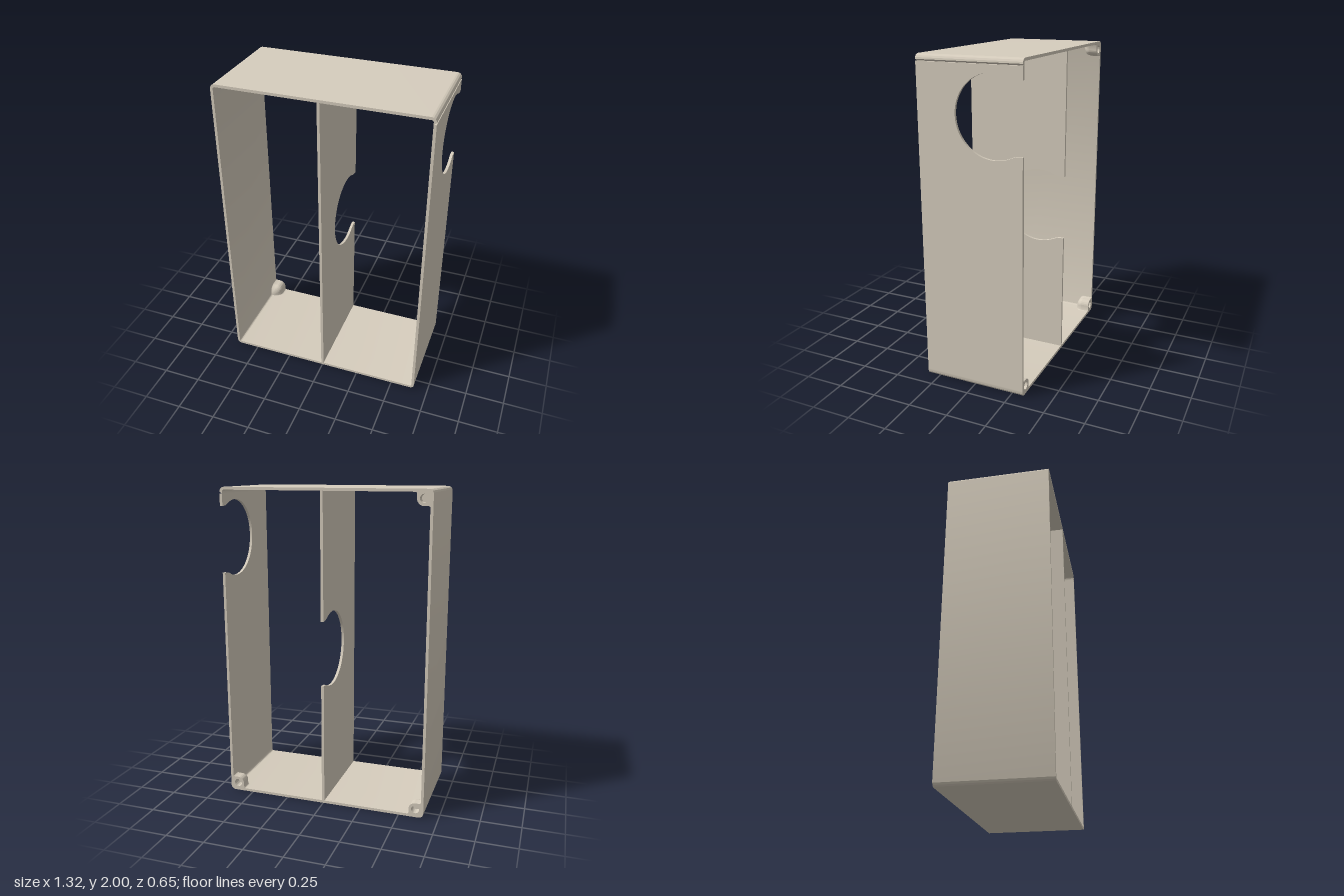
import * as THREE from 'three';
import { toCreasedNormals } from 'three/addons/utils/BufferGeometryUtils.js';
import { ParametricGeometry } from 'three/addons/geometries/ParametricGeometry.js';

const W = 0.658, H = 2, D = 0.325, T = 0.017; // half width, height, half depth, wall
const material = new THREE.MeshStandardMaterial({ color: 0xd6cdbd });

function mesh(name, geometry) {
  const m = new THREE.Mesh(geometry, material);
  m.name = name;
  return m;
}

function extrude(shape, depth) {
  const g = new THREE.ExtrudeGeometry(shape, { depth, bevelEnabled: false, curveSegments: 32 });
  return toCreasedNormals(g, 0.6);
}

// Top, bottom and left wall as one C-shaped profile with rounded corners
function frameShape(gap) {
  const R = 0.03, r = R - T, q = Math.PI / 2;
  const s = new THREE.Shape();
  s.moveTo(W, H - gap);
  s.absarc(W - R, H - R, R, 0, q, false);
  s.absarc(-W + R, H - R, R, q, 2 * q, false);
  s.absarc(-W + R, R, R, 2 * q, 3 * q, false);
  s.absarc(W - R, R, R, 3 * q, 4 * q, false);
  s.lineTo(W, gap);
  s.lineTo(W - T, gap);
  s.absarc(W - R, R, r, 0, -q, true);
  s.absarc(-W + R, R, r, -q, -2 * q, true);
  s.absarc(-W + R, H - R, r, 2 * q, q, true);
  s.absarc(W - R, H - R, r, q, 0, true);
  s.lineTo(W - T, H - gap);
  s.closePath();
  return s;
}

// Upright panel with a keyhole notch opening at its back edge
function notchedPanel(name, x, y0, y1, cy) {
  const a = 1.14, neck = 0.205, f = 0.143, fx = 0.315, fy = neck + f;
  const s = new THREE.Shape();
  s.moveTo(-D, y0);
  s.lineTo(D, y0);
  s.lineTo(D, cy - neck);
  s.absarc(fx, cy - fy, f, Math.PI / 2, Math.PI - a, false);
  s.absarc(0.155, cy, 0.24, -a, a, true);
  s.absarc(fx, cy + fy, f, a - Math.PI, -Math.PI / 2, false);
  s.lineTo(D, cy + neck);
  s.lineTo(D, y1);
  s.lineTo(-D, y1);
  s.closePath();
  const m = mesh(name, extrude(s, T).rotateY(Math.PI / 2));
  m.position.x = x;
  return m;
}

// Corner screw boss: bored block with a domed front, growing from the corner at 0,0
function screwBoss(name) {
  const c = 0.014, e = 0.094, r = 0.042, flare = 0.012, straight = 0.055, dome = 0.05;
  const s = new THREE.Shape();
  s.moveTo(c, c);
  s.lineTo(e + flare, c);
  s.lineTo(e + flare, T);
  s.quadraticCurveTo(e, T, e, T + flare);
  s.lineTo(e, e - r);
  s.absarc(e - r, e - r, r, 0, Math.PI / 2, false);
  s.lineTo(T + flare, e);
  s.quadraticCurveTo(T, e, T, e + flare);
  s.lineTo(c, e + flare);
  s.closePath();
  const outline = s.getPoints(10);

  const cap = new ParametricGeometry((u, v, p) => {
    const t = u * (outline.length - 1), i = Math.min(Math.floor(t + 1e-6), outline.length - 2);
    const o = outline[i].clone().lerp(outline[i + 1], t - i);
    const k = Math.cos(v * Math.PI / 2);
    p.set(c + (o.x - c) * k, c + (o.y - c) * k, straight + dome * Math.sin(v * Math.PI / 2));
  }, outline.length - 1, 10);

  const hole = new THREE.Path();
  hole.absarc(0.052, 0.052, 0.025, 0, Math.PI * 2, true);
  s.holes.push(hole);

  const floor = mesh('screwHoleFloor', new THREE.CircleGeometry(0.026, 32).rotateY(Math.PI));
  floor.position.set(0.052, 0.052, straight);

  const g = new THREE.Group();
  g.name = name;
  g.add(mesh('bossBody', extrude(s, straight)), mesh('bossDome', toCreasedNormals(cap, 0.6)), floor);
  return g;
}

export function createModel() {
  const model = new THREE.Group();
  model.name = 'dividedFrame';

  // Outer shell; the side wall at +x is a separate notched panel
  const gap = 0.04;
  const frame = mesh('outerFrame', extrude(frameShape(gap), 2 * D));
  frame.position.z = -D;
  model.add(frame);
  model.add(notchedPanel('notchedSideWall', W - T, gap, H - gap, 1.68));
  model.add(notchedPanel('centreDivider', -T / 2, T, H - T, 1.0));

  // Bosses in three of the back corners
  const corners = [
    ['bottomRightBoss', -W, 0, 0],
    ['topRightBoss', -W, H, -Math.PI / 2],
    ['bottomLeftBoss', W, 0, Math.PI / 2],
  ];
  for (const [name, x, y, turn] of corners) {
    const boss = screwBoss(name);
    boss.position.set(x, y, -D);
    boss.rotation.z = turn;
    model.add(boss);
  }
  return model;
}
